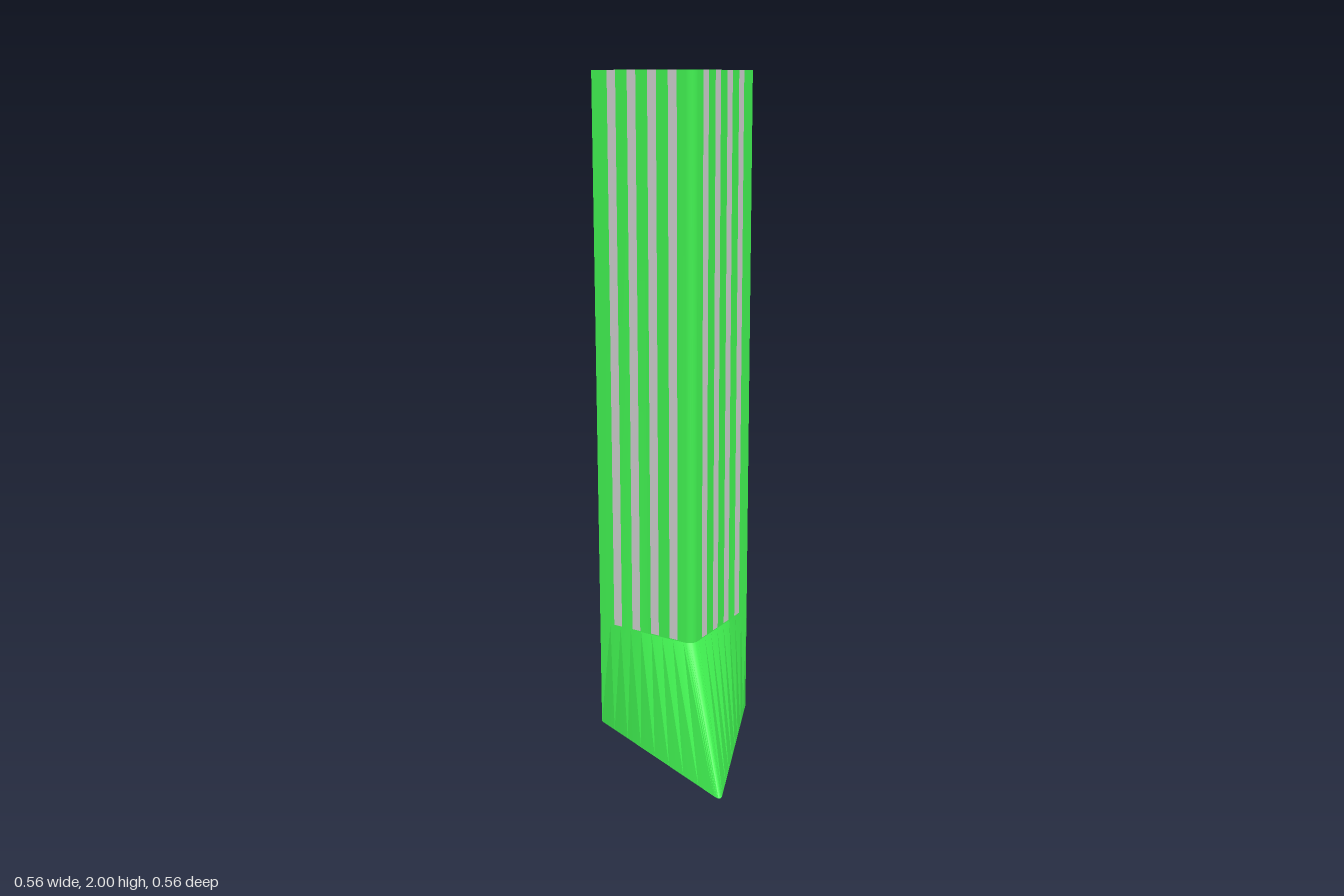
import * as THREE from 'three';
import { toCreasedNormals } from 'three/addons/utils/BufferGeometryUtils.js';

const BACK = -0.28, FRONT = 0.055, SHOULDER = 0.337, TOP = 2;

// Outline in [x, z]: left corner, front edge, rounded corner, side edge, back corner
function outline(start, control) {
  const points = [];
  const v = (x, z) => new THREE.Vector2(x, z);
  const a = v(BACK, FRONT), b = v(start[0], start[1]);
  const c = v(start[1], start[0]), d = v(FRONT, BACK);
  points.push(...new THREE.LineCurve(a, b).getPoints(8));
  points.push(...new THREE.QuadraticBezierCurve(b, v(control, control), c).getPoints(8).slice(1));
  points.push(...new THREE.LineCurve(c, d).getPoints(8).slice(1));
  points.push(v(BACK, BACK));
  return points;
}

// Joins stacked outlines with walls and closes both ends
function loft(rings, heights) {
  const positions = [];
  const n = rings[0].length;
  const put = (k, i) => positions.push(rings[k][i % n].x, heights[k], rings[k][i % n].y);
  const last = rings.length - 1;
  for (let k = 0; k < last; k++) {
    for (let i = 0; i < n; i++) {
      put(k, i); put(k, i + 1); put(k + 1, i + 1);
      put(k, i); put(k + 1, i + 1); put(k + 1, i);
    }
  }
  for (let i = 0; i < n - 2; i++) {
    put(0, n - 1); put(0, i + 1); put(0, i);
    put(last, n - 1); put(last, i); put(last, i + 1);
  }
  const geometry = new THREE.BufferGeometry();
  geometry.setAttribute('position', new THREE.Float32BufferAttribute(positions, 3));
  return toCreasedNormals(geometry, 0.3);
}

export function createModel() {
  const model = new THREE.Group();
  const green = new THREE.MeshStandardMaterial({ color: 0x40f050 });
  const grey = new THREE.MeshStandardMaterial({ color: 0xcccccc });

  // Square column with one rounded corner, flaring to a pointed foot
  const column = outline([0.022, FRONT], FRONT);
  const foot = outline([0.255, 0.273], 0.288);
  const body = new THREE.Mesh(loft([foot, column, column], [0, SHOULDER, TOP]), green);
  body.name = 'columnWithFoot';
  model.add(body);

  // Four narrow strips on the front and four on the side
  const height = TOP - 0.34;
  const strip = new THREE.BoxGeometry(0.028, height, 0.004);
  for (let i = 0; i < 4; i++) {
    const offset = -0.213 + i * 0.067;
    const front = new THREE.Mesh(strip, grey);
    front.name = 'frontStrip';
    front.position.set(offset, TOP - height / 2, FRONT - 0.001);
    const side = new THREE.Mesh(strip, grey);
    side.name = 'sideStrip';
    side.rotation.y = Math.PI / 2;
    side.position.set(FRONT - 0.001, TOP - height / 2, offset);
    model.add(front, side);
  }
  return model;
}
